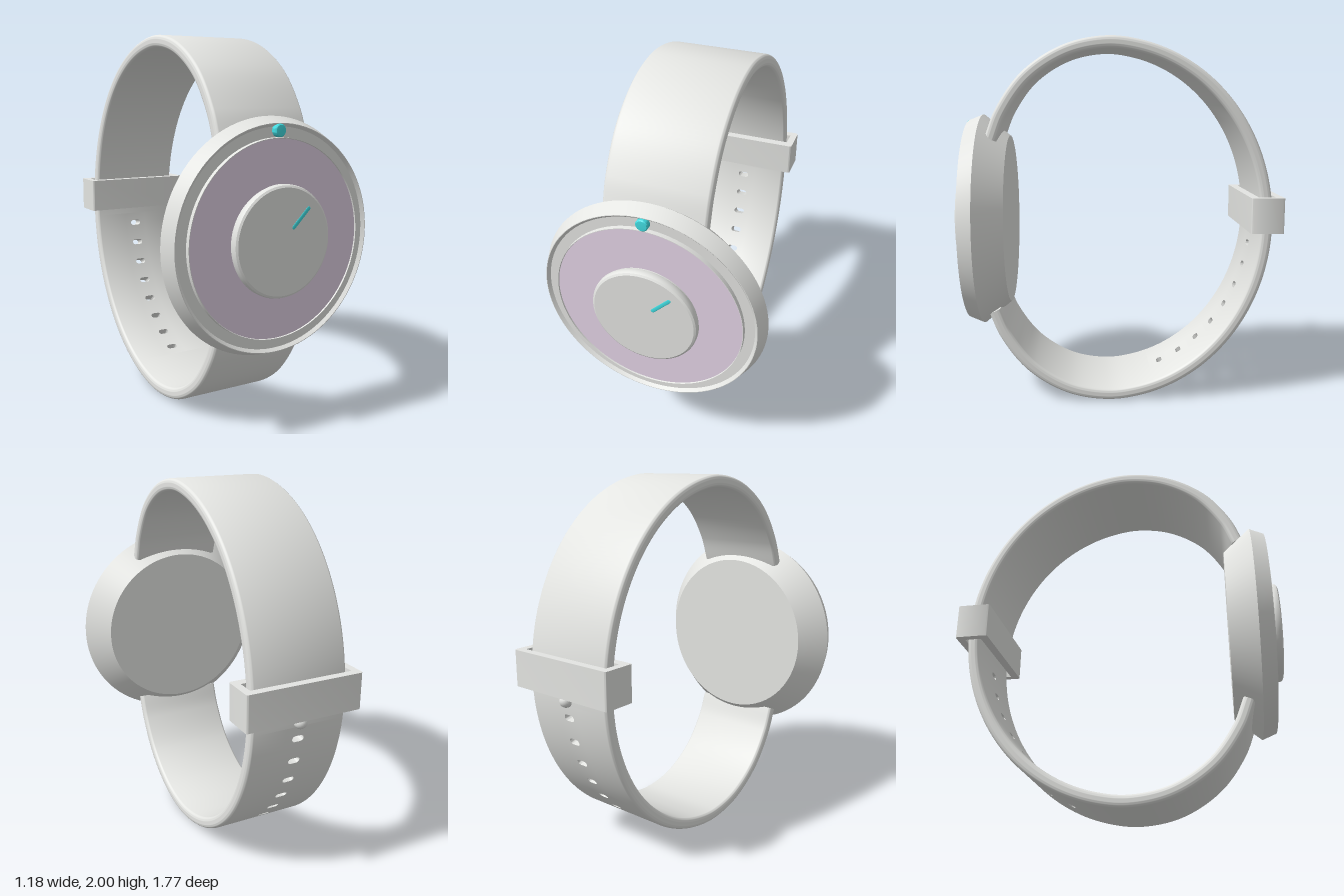
import * as THREE from 'three';
import { mergeGeometries, toCreasedNormals } from 'three/addons/utils/BufferGeometryUtils.js';

const paint = (name, color) => {
  const m = new THREE.MeshStandardMaterial({ color });
  m.name = name;
  return m;
};

const CY = 1.003;           // height of the dial centre
const HALF = 0.033;         // half the strap thickness
const WIDTH = 0.266;        // half the strap width
const PITCH = 0.135;        // hole spacing
const CELL_STEPS = 6;       // bending steps per hole
const HOLES = 8;

// Strap centreline as [z, y]: lower lug, half ellipse round the back, upper lug
const lowerLug = [[0.685, 0.53], [0.627, 0.392], [0.49, 0.21], [0.285, 0.08]];
const back = [];
for (let i = 0; i <= 16; i++) {
  const a = (i / 16) * Math.PI;
  back.push([0.07 - 0.873 * Math.sin(a), 1.003 - 0.966 * Math.cos(a)]);
}
const upperLug = [[0.285, 1.924], [0.49, 1.794], [0.627, 1.608], [0.685, 1.465]];
const strapPath = new THREE.CatmullRomCurve3(
  [...lowerLug, ...back, ...upperLug].map(([z, y]) => new THREE.Vector3(0, y, z)));
strapPath.arcLengthDivisions = 800;

// Bends a flat piece (x across, y outward, z along) and its normals round the strap path
function bend(geo, length) {
  const pos = geo.attributes.position, nor = geo.attributes.normal;
  for (let i = 0; i < pos.count; i++) {
    const u = THREE.MathUtils.clamp(pos.getZ(i) / length, 0, 1);
    const p = strapPath.getPointAt(u), t = strapPath.getTangentAt(u);
    const o = pos.getY(i), ny = nor.getY(i), nz = nor.getZ(i);
    pos.setXYZ(i, pos.getX(i), p.y + t.z * o, p.z - t.y * o);
    nor.setXYZ(i, nor.getX(i), nz * t.y + ny * t.z, nz * t.z - ny * t.y);
  }
  return geo;
}

// Straight run of strap from s0 to s1, with optional rounding on either side
function run(x0, x1, s0, s1, roundLeft, roundRight) {
  const r = 0.024, h = HALF, q = Math.PI / 2, s = new THREE.Shape();
  if (roundRight) {
    s.absarc(x1 - r, r - h, r, -q, 0);
    s.absarc(x1 - r, h - r, r, 0, q);
  } else {
    s.moveTo(x1, -h);
    s.lineTo(x1, h);
  }
  if (roundLeft) {
    s.absarc(x0 + r, h - r, r, q, 2 * q);
    s.absarc(x0 + r, r - h, r, 2 * q, 3 * q);
  } else {
    s.lineTo(x0, h);
    s.lineTo(x0, -h);
  }
  const steps = Math.ceil((s1 - s0) * CELL_STEPS / PITCH - 1e-6);
  return new THREE.ExtrudeGeometry(s, { depth: s1 - s0, steps, bevelEnabled: false, curveSegments: 5 })
    .translate(0, 0, s0);
}

// Short piece of strap with one slot through it
function holeCell(half, s) {
  const points = [];
  for (let i = 0; i <= CELL_STEPS; i++) points.push(new THREE.Vector2(half, (i / CELL_STEPS - 0.5) * PITCH));
  for (let i = CELL_STEPS; i >= 0; i--) points.push(new THREE.Vector2(-half, (i / CELL_STEPS - 0.5) * PITCH));
  const shape = new THREE.Shape(points);
  const slot = new THREE.Path();
  slot.absarc(0.016, 0, 0.017, -Math.PI / 2, Math.PI / 2);
  slot.absarc(-0.016, 0, 0.017, Math.PI / 2, Math.PI * 1.5);
  shape.holes.push(slot);
  return new THREE.ExtrudeGeometry(shape, { depth: 2 * HALF, bevelEnabled: false, curveSegments: 8 })
    .rotateX(Math.PI / 2).translate(0, HALF, s);
}

function strapGeometry() {
  const L = strapPath.getLength(), inner = 0.07;
  let u = 0.2;
  while (strapPath.getPointAt(u).y < 0.84) u += 0.002;
  const first = u * L, a = first - (HOLES - 0.5) * PITCH, b = first + 0.5 * PITCH;
  const parts = [
    run(-WIDTH, WIDTH, 0, a, true, true),
    run(-WIDTH, WIDTH, b, L, true, true),
    run(-WIDTH, -inner, a, b, true, false),
    run(inner, WIDTH, a, b, false, true),
  ];
  for (let i = 0; i < HOLES; i++) parts.push(holeCell(inner, first - i * PITCH));
  return bend(toCreasedNormals(mergeGeometries(parts), 0.6), L);
}

// Turned part facing +z, profile as [radius, z] from back to front
function turned(profile) {
  const pts = profile.map(([r, z]) => new THREE.Vector2(r, z));
  return toCreasedNormals(new THREE.LatheGeometry(pts, 96).rotateX(Math.PI / 2), 0.5);
}

export function createModel() {
  const grey = paint('silver grey', 0xe4e5e2);
  const lilac = paint('pale lilac', 0xe5d5e8);
  const teal = paint('teal', 0x42dde2);
  const group = new THREE.Group();
  group.name = 'wristwatch';
  const add = (name, geo, mat, x = 0, y = 0, z = 0) => {
    const m = new THREE.Mesh(geo, mat);
    m.name = name;
    m.position.set(x, y, z);
    group.add(m);
    return m;
  };

  // Case with sloped bezel, ball track and inner lip
  add('case', turned([
    [0, 0.605], [0.47, 0.605], [0.588, 0.75], [0.557, 0.826], [0.554, 0.826], [0.54, 0.811],
    [0.49, 0.811], [0.489, 0.833], [0.486, 0.833], [0.483, 0.82], [0, 0.82],
  ]), grey, 0, CY);
  add('dial', new THREE.CircleGeometry(0.485, 96), lilac, 0, CY, 0.826);

  // Raised centre disc on a narrower stem
  add('centreDisc', turned([
    [0.262, 0.822], [0.262, 0.836], [0.27, 0.84], [0.274, 0.85], [0.274, 0.868], [0.27, 0.878],
    [0.26, 0.884], [0, 0.884],
  ]), grey, 0, CY);

  // Pointer on the disc and round hour marker in the track
  const hand = add('pointer', new THREE.CapsuleGeometry(0.01, 0.12, 4, 12).scale(1, 1, 0.2), teal,
    0.096, 1.113, 0.8845);
  hand.rotation.z = -Math.PI / 4;
  add('hourMarker', turned([[0.031, 0.79], [0.031, 0.836], [0.026, 0.841], [0, 0.843]]), teal, 0, 1.525);

  add('strap', strapGeometry(), grey);

  // Rectangular clasp loop, drawn in x and -z then stood upright
  const loop = new THREE.Shape();
  const x = 0.32, z0 = 0.705, z1 = 0.885, r = 0.012, q = Math.PI / 2;
  loop.absarc(x - r, z0 + r, r, -q, 0);
  loop.absarc(x - r, z1 - r, r, 0, q);
  loop.absarc(r - x, z1 - r, r, q, 2 * q);
  loop.absarc(r - x, z0 + r, r, 2 * q, 3 * q);
  const opening = new THREE.Path();
  opening.moveTo(-0.28, 0.752).lineTo(-0.28, 0.842).lineTo(0.28, 0.842).lineTo(0.28, 0.752).closePath();
  loop.holes.push(opening);
  const clasp = new THREE.ExtrudeGeometry(loop, { depth: 0.193, bevelEnabled: false, curveSegments: 4 });
  add('claspLoop', toCreasedNormals(clasp.rotateX(-q), 0.6), grey, 0, 0.957, 0);
  add('claspPeg', new THREE.SphereGeometry(0.034, 20, 14), grey, 0, 0.933, -0.84);

  return group;
}
